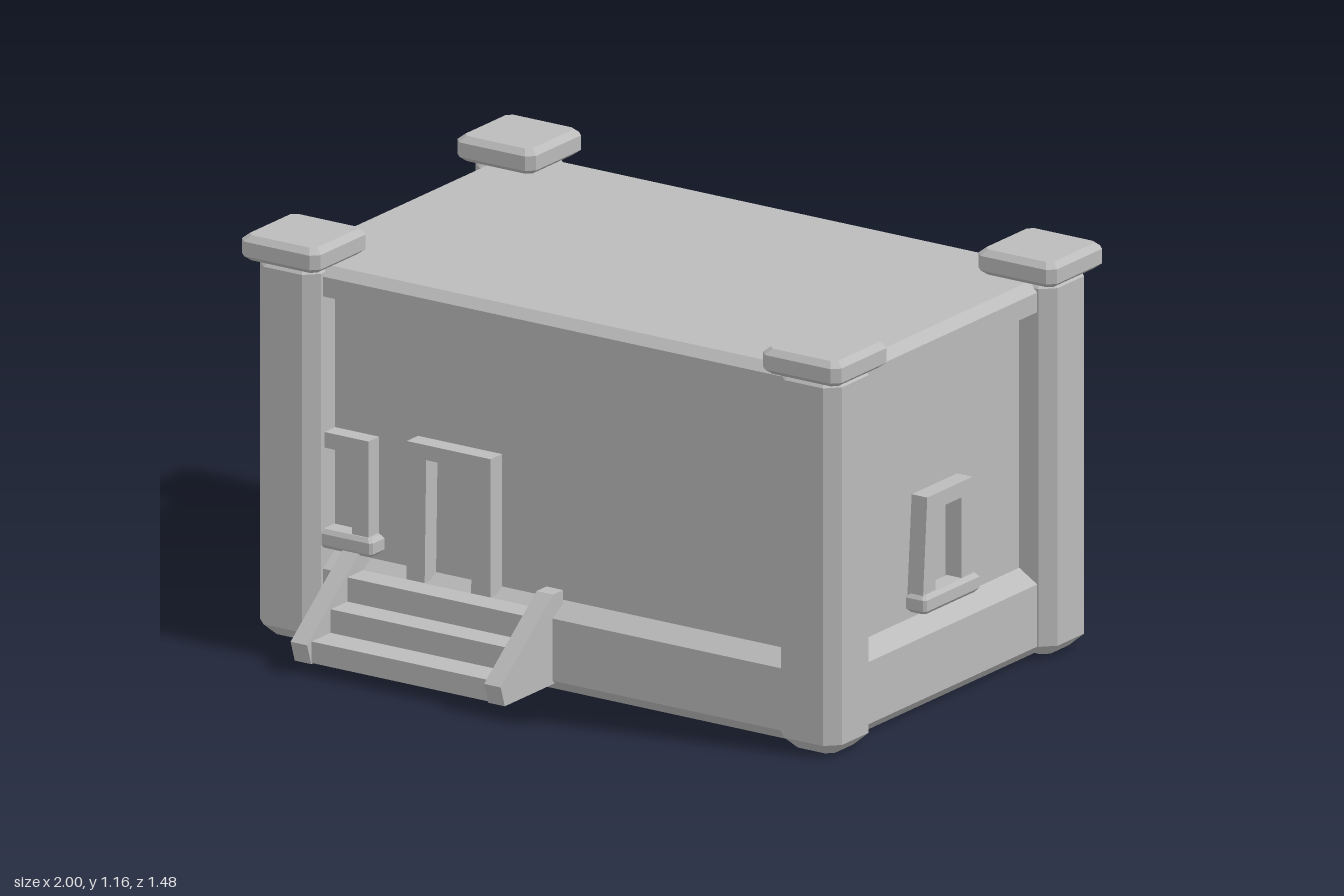
import * as THREE from 'three';

const stone = new THREE.MeshStandardMaterial({ color: 0xbbbbbb });
stone.name = 'grey stone';

const WALL = { x: 0.868, front: 0.43, back: -0.61, midZ: -0.09 };

// Stack of chamfered rectangles; each level is [y, halfX, halfZ, cornerChamfer]
function loft(levels) {
  const rings = levels.map(([y, hx, hz, c]) => [
    [hx, hz - c], [hx, c - hz], [hx - c, -hz], [c - hx, -hz],
    [-hx, c - hz], [-hx, hz - c], [c - hx, hz], [hx - c, hz],
  ].map(([x, z]) => [x, y, z]));
  const pos = [];
  const tri = (a, b, c) => pos.push(...a, ...b, ...c);
  for (let k = 0; k < rings.length - 1; k++) {
    for (let i = 0; i < 8; i++) {
      const j = (i + 1) % 8, lo = rings[k], hi = rings[k + 1];
      tri(lo[i], lo[j], hi[j]);
      tri(lo[i], hi[j], hi[i]);
    }
  }
  const bottom = rings[0], top = rings[rings.length - 1];
  for (let i = 1; i < 7; i++) {
    tri(top[0], top[i], top[i + 1]);
    tri(bottom[0], bottom[i + 1], bottom[i]);
  }
  const geo = new THREE.BufferGeometry();
  geo.setAttribute('position', new THREE.Float32BufferAttribute(pos, 3));
  geo.computeVertexNormals();
  return geo;
}

function outline(points) {
  return new THREE.Shape(points.map(([x, y]) => new THREE.Vector2(x, y)));
}

function extrude(shape, depth) {
  return new THREE.ExtrudeGeometry(shape, { depth, bevelEnabled: false });
}

function add(parent, name, geo, x = 0, y = 0, z = 0) {
  const mesh = new THREE.Mesh(geo, stone);
  mesh.name = name;
  mesh.position.set(x, y, z);
  parent.add(mesh);
  return mesh;
}

// Window facing local +z, with its back on the wall plane
function makeWindow(name) {
  const g = new THREE.Group();
  g.name = name;
  const frame = outline([[-0.128, 0.29], [0.115, 0.29], [0.115, 0.608], [-0.105, 0.608]]);
  frame.holes.push(outline([[-0.065, 0.32], [-0.065, 0.563], [0.06, 0.563], [0.06, 0.32]]));
  add(g, 'windowFrame', extrude(frame, 0.052));
  add(g, 'windowSill', loft([
    [0.275, 0.124, 0.026, 0.008], [0.286, 0.135, 0.036, 0.008],
    [0.318, 0.135, 0.036, 0.008], [0.33, 0.124, 0.026, 0.008],
  ]), 0, 0, 0.03);
  return g;
}

export function createModel() {
  const model = new THREE.Group();
  model.name = 'building';

  // Body: bevelled plinth, recessed wall, projecting roof lip
  const profile = [
    [0, 0.035], [0.035, 0], [0.215, 0], [0.252, 0.06],
    [0.98, 0.06], [1.003, 0], [1.06, 0], [1.085, 0.03],
  ];
  add(model, 'body', loft(profile.map(([y, inset]) =>
    [y, 0.928 - inset, 0.58 - inset, 0.02])), 0, 0, WALL.midZ);

  // Corner pillars with caps
  for (const x of [-0.868, 0.868]) {
    for (const z of [0.434, -0.61]) {
      add(model, 'pillar', loft([
        [0, 0.065, 0.065, 0.02], [0.035, 0.102, 0.102, 0.038],
        [1.07, 0.102, 0.102, 0.038], [1.092, 0.08, 0.08, 0.03],
      ]), x, 0, z);
      add(model, 'pillarCap', loft([
        [1.085, 0.112, 0.112, 0.015], [1.1, 0.131, 0.131, 0.022],
        [1.142, 0.131, 0.131, 0.022], [1.158, 0.112, 0.112, 0.015],
      ]), x, 0, z);
    }
  }

  // Windows on the front, left and back walls
  const front = makeWindow('frontWindow');
  front.position.set(-0.735, 0, WALL.front);
  const side = makeWindow('sideWindow');
  side.position.set(WALL.x, 0, -0.092);
  side.rotation.y = Math.PI / 2;
  const back = makeWindow('backWindow');
  back.position.set(-0.71, 0, WALL.back);
  back.rotation.y = Math.PI;
  model.add(front, side, back);

  // Door surround
  const door = outline([
    [-0.49, 0.235], [-0.43, 0.235], [-0.425, 0.592], [-0.272, 0.592],
    [-0.275, 0.235], [-0.21, 0.235], [-0.21, 0.635], [-0.49, 0.635],
  ]);
  add(model, 'doorFrame', extrude(door, 0.055), 0, 0, WALL.front);

  // Entrance steps
  const steps = new THREE.Group();
  steps.name = 'steps';
  const turn = (geo) => geo.rotateY(-Math.PI / 2);
  const treads = outline([
    [0.44, 0.028], [0.72, 0.028], [0.72, 0.09], [0.628, 0.09],
    [0.628, 0.158], [0.547, 0.158], [0.547, 0.228], [0.44, 0.228],
  ]);
  add(steps, 'treads', turn(extrude(treads, 0.6)), -0.045);

  // Sloping side walls of the steps
  const cheek = outline([
    [0.44, 0.025], [0.722, 0.025], [0.742, 0.085], [0.488, 0.284], [0.44, 0.284],
  ]);
  for (const x of [0, -0.645]) {
    add(steps, 'stepSideWall', turn(extrude(cheek, 0.055)), x);
  }
  model.add(steps);

  return model;
}
